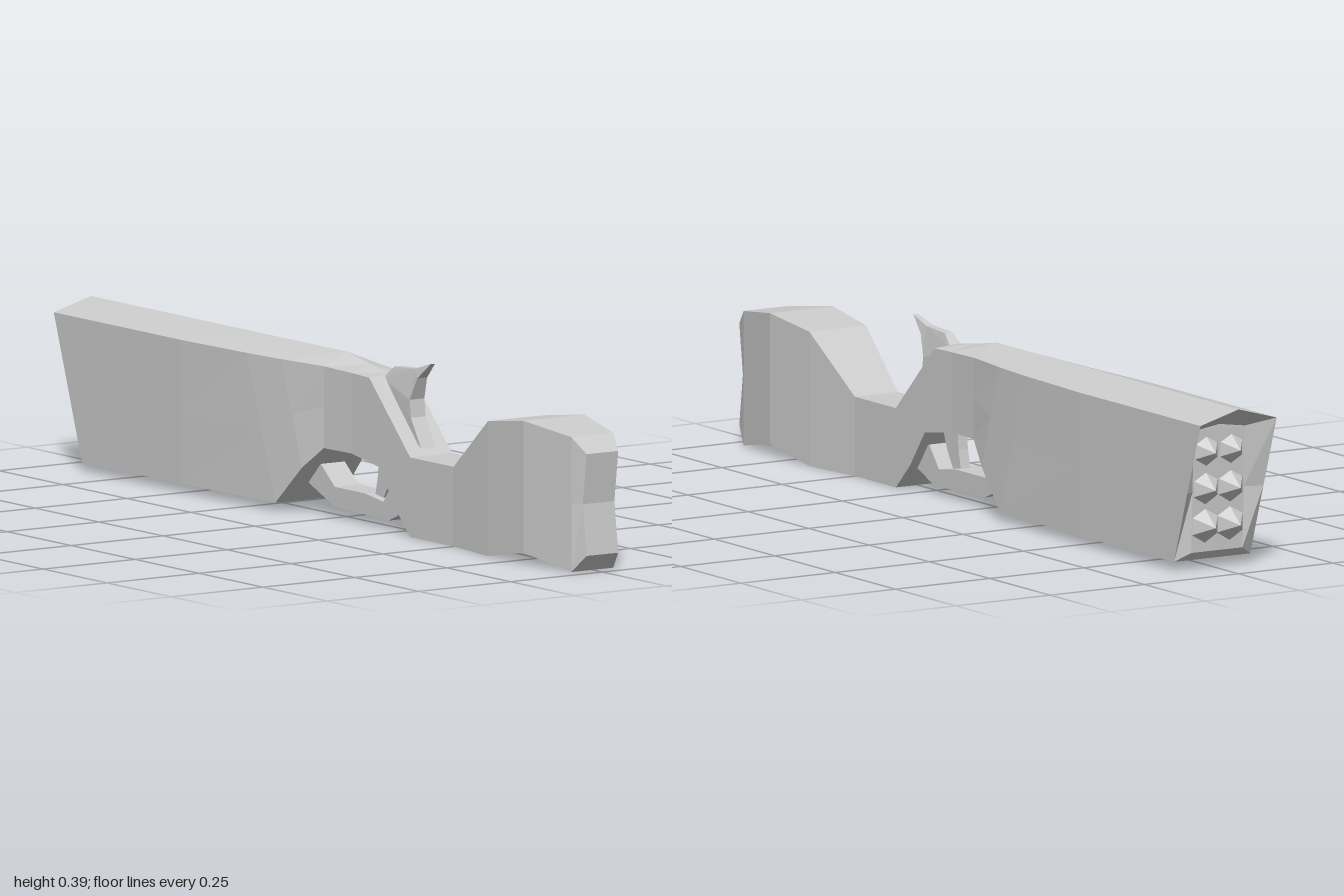
import * as THREE from 'three';

const material = new THREE.MeshStandardMaterial({ color: 0xcccccc, flatShading: true });

function addMesh(group, geometry, name) {
  const mesh = new THREE.Mesh(geometry, material);
  mesh.name = name;
  group.add(mesh);
  return mesh;
}

// One seven-sided cross-section; top and bottom edges may sit at different z
function ring([zTop, yTop, yRidge, zBottom, yBottom, half, dent = 0]) {
  const zMid = (zTop + zBottom) / 2 - dent, yMid = (yTop + yBottom) / 2;
  return [
    [-half, yBottom, zBottom], [half, yBottom, zBottom], [half, yMid, zMid],
    [half, yTop, zTop], [0, yRidge, zTop], [-half, yTop, zTop], [-half, yMid, zMid],
  ];
}

// Skin the cross-sections from front to back and close both ends
function loft(sections) {
  const rings = sections.map(ring);
  const points = [];
  const tri = (a, b, c) => points.push(...a, ...b, ...c);
  for (let s = 0; s < rings.length - 1; s++) {
    const a = rings[s], b = rings[s + 1];
    for (let i = 0; i < 7; i++) {
      const j = (i + 1) % 7;
      tri(a[i], b[i], b[j]);
      tri(a[i], b[j], a[j]);
    }
  }
  const first = rings[0], last = rings[rings.length - 1];
  for (const [i, j, k] of [[0, 1, 2], [0, 2, 6], [6, 2, 3], [6, 3, 5], [5, 3, 4]]) {
    tri(first[i], first[j], first[k]);
    tri(last[i], last[k], last[j]);
  }
  const geometry = new THREE.BufferGeometry();
  geometry.setAttribute('position', new THREE.Float32BufferAttribute(points, 3));
  geometry.computeVertexNormals();
  return geometry;
}

// Side outline given as (z, y), extruded across x
function sidePlate(outline, width) {
  const shape = new THREE.Shape(outline.map(([z, y]) => new THREE.Vector2(z, y)));
  const geometry = new THREE.ExtrudeGeometry(shape, { depth: width, bevelEnabled: false });
  return geometry.translate(0, 0, -width / 2).rotateY(-Math.PI / 2);
}

export function createModel() {
  const group = new THREE.Group();
  group.name = 'gun';

  // Stock, grip, receiver and barrel housing, ending in the recessed muzzle
  addMesh(group, loft([
    // zTop, yTop, yRidge, zBottom, yBottom, halfWidth, dent
    [1, 0.27, 0.27, 1, 0.04, 0.043, 0.015],
    [0.96, 0.305, 0.305, 0.96, 0, 0.057],
    [0.81, 0.325, 0.325, 0.81, 0.027, 0.083],
    [0.66, 0.305, 0.305, 0.66, 0, 0.075],
    [0.5, 0.18, 0.18, 0.5, 0, 0.057],
    [0.33, 0.18, 0.18, 0.33, 0, 0.057],
    [0.25, 0.26, 0.26, 0.27, 0.06, 0.057],
    [0.17, 0.34, 0.345, 0.21, 0.143, 0.057],
    [0.1, 0.342, 0.355, 0.1, 0.16, 0.057],
    [0, 0.345, 0.373, 0, 0.16, 0.062],
    [-0.14, 0.345, 0.373, -0.06, 0.11, 0.08],
    [-0.26, 0.345, 0.373, -0.15, 0.02, 0.09],
    [-0.5, 0.345, 0.373, -0.5, 0.02, 0.101],
    [-1, 0.345, 0.373, -0.89, 0.02, 0.101],
    [-0.92, 0.318, 0.328, -0.91, 0.04, 0.068],
  ]), 'body');

  // Trigger guard strap
  addMesh(group, sidePlate([
    [0.28, 0.05], [0.21, 0.02], [0, 0.025], [-0.11, 0.07], [-0.06, 0.12],
    [0, 0.07], [0.12, 0.07], [0.19, 0.06], [0.23, 0.11], [0.27, 0.09],
  ], 0.065), 'triggerGuard');

  addMesh(group, sidePlate([
    [0.21, 0.16], [0.145, 0.16], [0.14, 0.11], [0.13, 0.065], [0.16, 0.06], [0.185, 0.1],
  ], 0.025), 'trigger');

  // Hammer, narrowing toward its spur
  const hammer = sidePlate([
    [0.337, 0.387], [0.28, 0.37], [0.2, 0.365], [0.165, 0.335],
    [0.25, 0.24], [0.32, 0.195], [0.28, 0.26], [0.275, 0.3], [0.295, 0.35],
  ], 0.04);
  const p = hammer.attributes.position;
  for (let i = 0; i < p.count; i++) {
    const t = THREE.MathUtils.clamp((p.getY(i) - 0.32) / 0.065, 0, 1);
    p.setX(i, p.getX(i) * (1 - 0.7 * t));
  }
  hammer.computeVertexNormals();
  addMesh(group, hammer, 'hammer');

  // Two columns of faceted studs inside the muzzle
  for (const side of [-1, 1]) {
    for (let row = 0; row < 3; row++) {
      const stud = addMesh(group, new THREE.ConeGeometry(0.043, 0.05, 6), 'muzzleStud');
      stud.rotation.x = -Math.PI / 2;
      stud.position.set(side * 0.033, 0.1 + row * 0.085, -0.932);
    }
  }
  return group;
}
